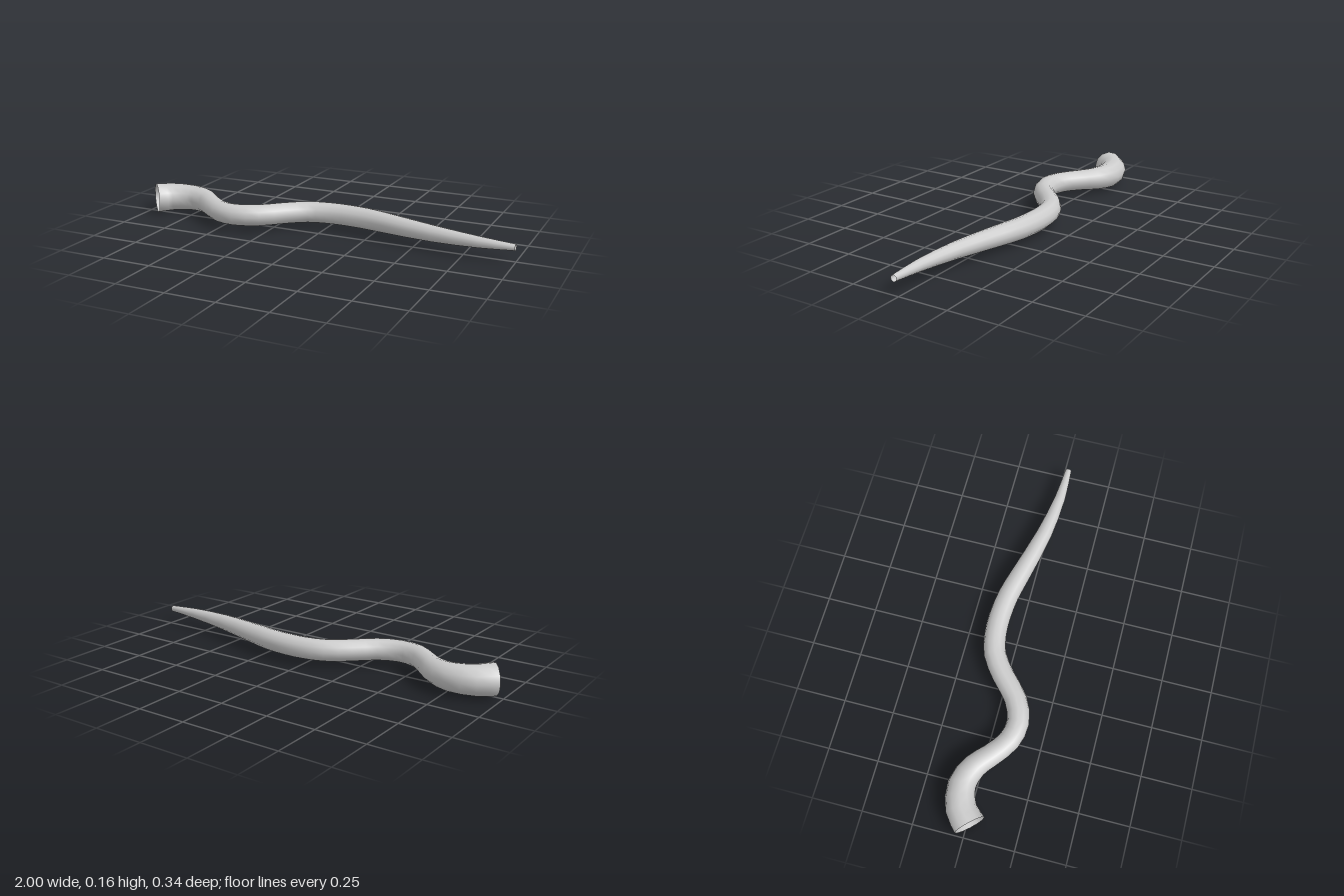
import * as THREE from 'three';

const SIDES = 12, STEPS = 32, HEIGHT = 0.078;

// Centre line stations: [x, z, radius]
const stations = [
  [-0.945, 0.02, 0.078], [-0.88, -0.04, 0.074], [-0.77, -0.068, 0.068], [-0.67, -0.033, 0.061],
  [-0.6, 0.027, 0.056], [-0.51, 0.093, 0.055], [-0.41, 0.113, 0.055], [-0.3, 0.073, 0.055],
  [-0.2, -0.015, 0.055], [-0.1, -0.086, 0.055], [0, -0.111, 0.055], [0.1, -0.115, 0.055],
  [0.22, -0.103, 0.054], [0.345, -0.073, 0.051], [0.6, -0.012, 0.041], [0.83, 0.019, 0.028],
  [1, 0.023, 0.016],
];

// Open tube of round sections that stay upright along the winding path
function taperedTube() {
  const path = new THREE.CatmullRomCurve3(stations.map(([x, z]) => new THREE.Vector3(x, HEIGHT, z)));
  const radii = new THREE.CatmullRomCurve3(stations.map(([, , r], i) => new THREE.Vector3(i, r, 0)));
  const positions = [], index = [];
  for (let i = 0; i <= STEPS; i++) {
    const t = i / STEPS;
    const centre = path.getPoint(t), dir = path.getTangent(t);
    const r = radii.getPoint(t).y;
    for (let j = 0; j < SIDES; j++) {
      const a = (j / SIDES) * Math.PI * 2;
      const side = Math.cos(a) * r;
      positions.push(centre.x - dir.z * side, centre.y + Math.sin(a) * r, centre.z + dir.x * side);
      if (i < STEPS) {
        const k = (j + 1) % SIDES;
        const p = i * SIDES + j, q = i * SIDES + k;
        index.push(p, q, p + SIDES, q, q + SIDES, p + SIDES);
      }
    }
  }
  // Wind the faces outward
  for (let i = 0; i < index.length; i += 3) [index[i + 1], index[i + 2]] = [index[i + 2], index[i + 1]];
  const geometry = new THREE.BufferGeometry();
  geometry.setAttribute('position', new THREE.Float32BufferAttribute(positions, 3));
  geometry.setIndex(index);
  geometry.computeVertexNormals();
  return geometry;
}

export function createModel() {
  const group = new THREE.Group();
  group.name = 'windingTentacle';
  const material = new THREE.MeshStandardMaterial({ color: 0xcccccc, side: THREE.DoubleSide });
  const tube = new THREE.Mesh(taperedTube(), material);
  tube.name = 'taperedTube';
  group.add(tube);
  return group;
}
